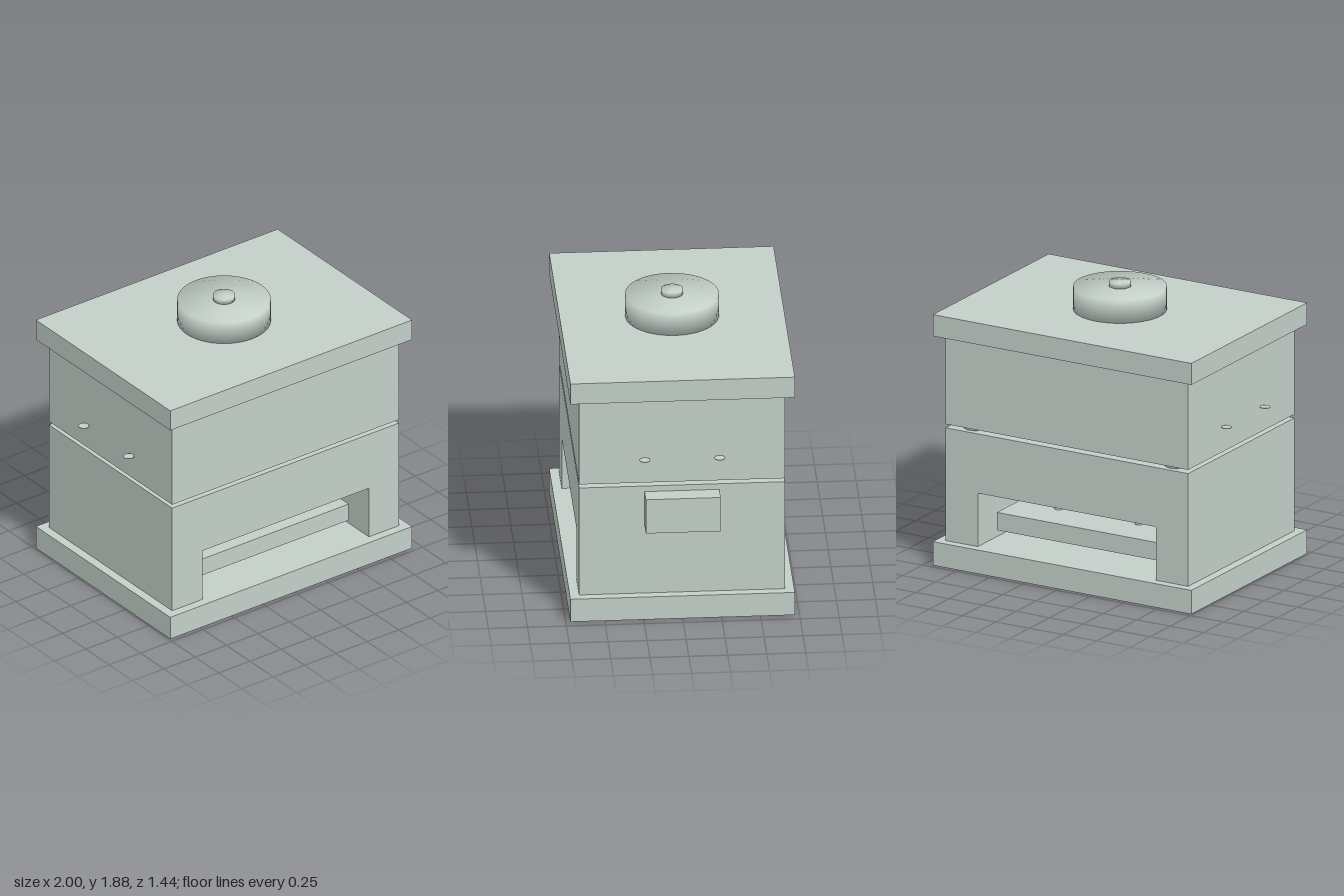
import * as THREE from 'three';
import { mergeVertices } from 'three/addons/utils/BufferGeometryUtils.js';

const paint = new THREE.MeshStandardMaterial({ color: 0xc3cfc8 });
paint.name = 'pale grey green';

export function createModel() {
  const group = new THREE.Group();
  group.name = 'cabinet';
  // The cabinet sits slightly off centre because of the box on its left side
  const CX = -0.025;

  function add(name, geometry, x = 0, y = 0, z = 0) {
    const mesh = new THREE.Mesh(geometry, paint);
    mesh.name = name;
    mesh.position.set(CX + x, y, z);
    group.add(mesh);
  }

  // Block given by its width, bottom, top and depth
  function block(name, w, y0, y1, d, x = 0) {
    add(name, new THREE.BoxGeometry(w, y1 - y0, d), x, (y0 + y1) / 2);
  }

  // Upright cylinder; soft blends the normals over the rim
  function post(name, r, y0, y1, x = 0, z = 0, soft = false) {
    let geometry = new THREE.CylinderGeometry(r, r, y1 - y0, 48);
    if (soft) {
      geometry.deleteAttribute('normal');
      geometry.deleteAttribute('uv');
      geometry = mergeVertices(geometry);
      geometry.computeVertexNormals();
    }
    add(name, geometry, x, (y0 + y1) / 2, z);
  }

  // Base plate, upper housing and lid
  block('basePlate', 1.93, 0, 0.16, 1.44);
  block('upperHousing', 1.81, 0.945, 1.545, 1.32);
  block('lid', 1.93, 1.545, 1.69, 1.44);

  // Lower housing: an arch open from front to back
  const arch = new THREE.Shape([
    [-0.905, 0.16], [-0.665, 0.16], [-0.665, 0.52], [0.665, 0.52],
    [0.665, 0.16], [0.905, 0.16], [0.905, 0.92], [-0.905, 0.92],
  ].map(([x, y]) => new THREE.Vector2(x, y)));
  add('lowerHousing', new THREE.ExtrudeGeometry(arch, { depth: 1.32, bevelEnabled: false }), 0, 0, -0.66);

  // Tray hanging in the opening, and the control box on the left side
  block('tray', 1.2, 0.245, 0.365, 1.06);
  block('controlBox', 0.12, 0.64, 0.88, 0.48, 0.965);

  for (const sx of [-1, 1]) {
    for (const sz of [-1, 1]) {
      post('spacerFoot', 0.08, 0.92, 0.945, sx * 0.75, sz * 0.545, true);
      post('trayHanger', 0.025, 0.365, 0.52, sx * 0.3, sz * 0.265);
      // Thin discs beside the upper housing
      post('sideDisc', 0.034, 1.118, 1.122, sx * 0.94, sz * 0.24);
    }
  }

  // Round cap and its knob
  post('cap', 0.3, 1.69, 1.845, 0, 0, true);
  post('capKnob', 0.07, 1.845, 1.88, 0, 0, true);

  return group;
}
